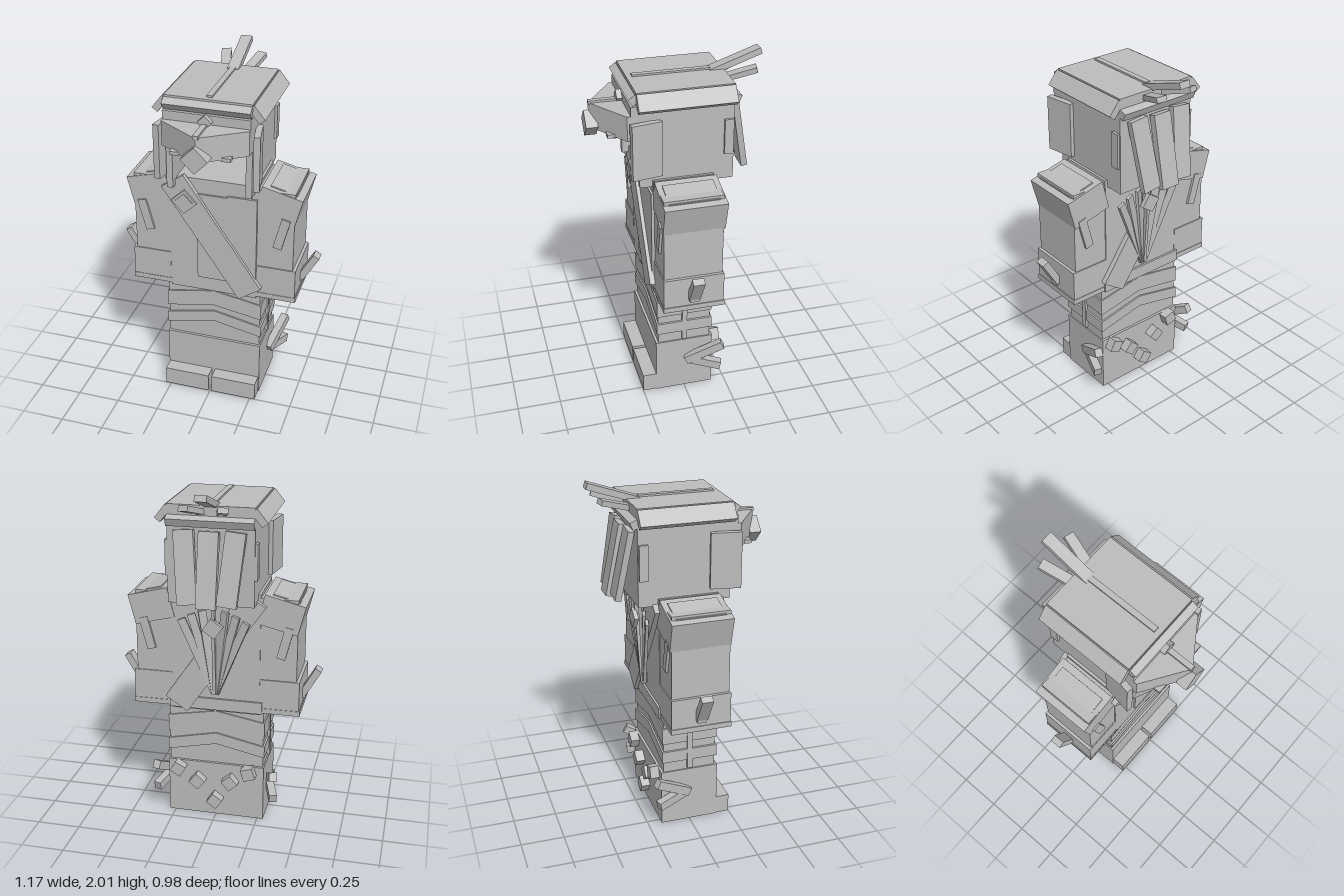
import * as THREE from 'three';

export function createModel() {
  const model = new THREE.Group();
  const grey = new THREE.MeshStandardMaterial({ color: 0xbcbcbc });
  grey.name = 'stone grey';

  const add = (name, geo) => {
    const mesh = new THREE.Mesh(geo, grey);
    mesh.name = name;
    model.add(mesh);
    return mesh;
  };
  const box = (name, size, pos, rot = [0, 0, 0]) => {
    const mesh = add(name, new THREE.BoxGeometry(...size));
    mesh.position.set(...pos);
    mesh.rotation.set(...rot);
    return mesh;
  };
  // Box mirrored to both sides of the body
  const pair = (name, size, [x, y, z], [rx, ry, rz] = [0, 0, 0]) => {
    box(name + 'Left', size, [x, y, z], [rx, ry, rz]);
    box(name + 'Right', size, [-x, y, z], [rx, -ry, -rz]);
  };
  // Square bar running between two points
  const bar = (name, w, h, a, b) => {
    const p = new THREE.Vector3(...a), q = new THREE.Vector3(...b);
    const mesh = box(name, [w, h, p.distanceTo(q)], p.clone().add(q).multiplyScalar(0.5).toArray());
    mesh.lookAt(q);
  };

  // Boots with toe caps
  box('boots', [0.57, 0.34, 0.34], [0, 0.17, 0]);
  pair('toeCap', [0.27, 0.11, 0.085], [0.145, 0.055, 0.207]);
  for (const [x, y, r] of [[0.22, 0.3, 0.5], [0.105, 0.23, 0.7], [-0.09, 0.24, -0.7], [-0.2, 0.31, -0.3], [0, 0.11, 0.6]])
    box('heelStud', [0.07, 0.07, 0.055], [x, y, -0.195], [0, 0, r]);
  for (const s of [1, -1]) {
    bar('bootSpikeUpper', 0.045, 0.05, [s * 0.295, 0.2, -0.01], [s * 0.35, 0.315, -0.215]);
    bar('bootSpikeLower', 0.045, 0.05, [s * 0.295, 0.2, -0.04], [s * 0.35, 0.165, -0.205]);
  }

  // Thighs wrapped in peaked bands
  box('thighs', [0.555, 0.36, 0.31], [0, 0.51, 0]);
  const wrap = (y, h, grow, peak) => {
    const geo = new THREE.BoxGeometry(0.56 + grow, h, 0.315 + grow, 4, 1, 1);
    const p = geo.attributes.position;
    for (let i = 0; i < p.count; i++)
      p.setY(i, p.getY(i) + peak * (0.5 - Math.abs(p.getX(i)) / 0.28));
    geo.computeVertexNormals();
    add('legWrap', geo).position.y = y;
  };
  wrap(0.6, 0.1, 0.01, 0.05);
  wrap(0.47, 0.07, 0.014, 0.06);
  pair('sideStripe', [0.02, 0.33, 0.03], [0.283, 0.515, 0]);

  // Torso, front panel and waist edge
  box('torso', [0.51, 0.72, 0.34], [0, 1.04, 0]);
  box('frontPanel', [0.175, 0.54, 0.015], [-0.0025, 1.04, 0.174]);
  box('lapel', [0.17, 0.55, 0.02], [0.17, 1.045, 0.172]);
  box('waistPlate', [0.54, 0.07, 0.02], [0, 0.725, -0.172]);

  // Diagonal sash with buckle, front and back
  for (const s of [1, -1])
    box('sash', [0.155, 0.8, 0.03], [0, 1.05, s * 0.187], [0, 0, 0.597]);
  box('buckle', [0.105, 0.105, 0.015], [-0.155, 1.265, 0.206], [0, 0, 0.75]);
  box('buckleInset', [0.075, 0.075, 0.012], [-0.155, 1.265, 0.213], [0, 0, 0.75]);

  // Fan of feathers on the back
  for (let i = -3; i <= 3; i++) {
    const a = i * 0.13, len = 0.52 - Math.abs(i) * 0.012;
    bar('fanFeather', 0.018, 0.045,
      [0, 0.8, -0.185],
      [Math.sin(a) * len, 0.8 + Math.cos(a) * len, -0.218]);
  }
  box('backBrooch', [0.085, 0.085, 0.025], [0, 1.21, -0.24], [0, 0, 0.6]);

  // Arms, shoulder pads, straps, cuffs and elbow spikes
  pair('arm', [0.21, 0.68, 0.33], [0.358, 1.04, 0]);
  pair('cuff', [0.225, 0.2, 0.342], [0.368, 0.8, 0]);
  pair('cuffEdge', [0.235, 0.03, 0.348], [0.368, 0.71, 0]);
  pair('shoulderPad', [0.235, 0.175, 0.345], [0.37, 1.292, -0.003], [0, 0, -0.25]);
  pair('shoulderPlate', [0.155, 0.012, 0.28], [0.392, 1.378, -0.003], [0, 0, -0.25]);
  for (const s of [1, -1])
    pair('shoulderStrap', [0.05, 0.19, 0.02], [0.395, 1.13, s * 0.17], [0, 0, -0.25]);
  pair('elbowSpike', [0.04, 0.18, 0.065], [0.523, 0.85, 0], [0, 0, -0.52]);
  pair('elbowSpikeBase', [0.03, 0.05, 0.05], [0.482, 0.775, 0]);

  // Open-faced hood
  pair('hoodSide', [0.035, 0.47, 0.52], [0.2225, 1.595, -0.02]);
  box('hoodBack', [0.41, 0.47, 0.035], [0, 1.595, -0.2625]);
  box('hoodTop', [0.48, 0.1, 0.53], [0, 1.855, -0.015]);
  box('topRidge', [0.032, 0.02, 0.43], [0, 1.905, 0.005]);
  pair('sideRim', [0.095, 0.04, 0.53], [0.262, 1.852, -0.015], [0, 0, -0.9]);
  box('frontRim', [0.48, 0.045, 0.045], [0, 1.865, 0.262], [0.6, 0, 0]);
  box('backRim', [0.48, 0.045, 0.045], [0, 1.82, -0.29], [-0.4, 0, 0]);
  box('browBand', [0.48, 0.06, 0.06], [0, 1.8, 0.25]);
  pair('cheekGuard', [0.035, 0.315, 0.17], [0.262, 1.588, 0.205], [0, 0.17, 0]);
  pair('rearSidePlate', [0.02, 0.2, 0.05], [0.245, 1.61, -0.25]);

  // Beaked visor
  const plan = new THREE.Shape([[-0.24, -0.24], [-0.24, -0.3], [0, -0.46], [0.24, -0.3], [0.24, -0.24]]
    .map(([x, y]) => new THREE.Vector2(x, y)));
  const visor = new THREE.ExtrudeGeometry(plan, { depth: 0.14, bevelEnabled: false });
  visor.rotateX(-Math.PI / 2);
  add('visor', visor).position.y = 1.64;
  box('beakRidge', [0.03, 0.02, 0.18], [0, 1.782, 0.37]);
  box('beakTip', [0.105, 0.105, 0.065], [0, 1.665, 0.453], [0, 0, Math.PI / 4]);
  pair('visorStud', [0.05, 0.02, 0.09], [0.14, 1.645, 0.345]);
  box('browGem', [0.055, 0.055, 0.03], [0, 1.8, 0.295], [0, 0, Math.PI / 4]);

  // Crest on top and long plumes behind
  box('crestCentre', [0.065, 0.035, 0.3], [0, 1.94, -0.35], [0.33, 0, 0]);
  pair('crestSide', [0.055, 0.03, 0.22], [0.078, 1.89, -0.34], [0.3, -0.25, 0]);
  box('plumeCentre', [0.11, 0.41, 0.04], [0, 1.575, -0.352], [0.2, 0, 0]);
  pair('plumeSide', [0.11, 0.4, 0.035], [0.125, 1.58, -0.335], [0.18, 0, -0.09]);

  return model;
}
